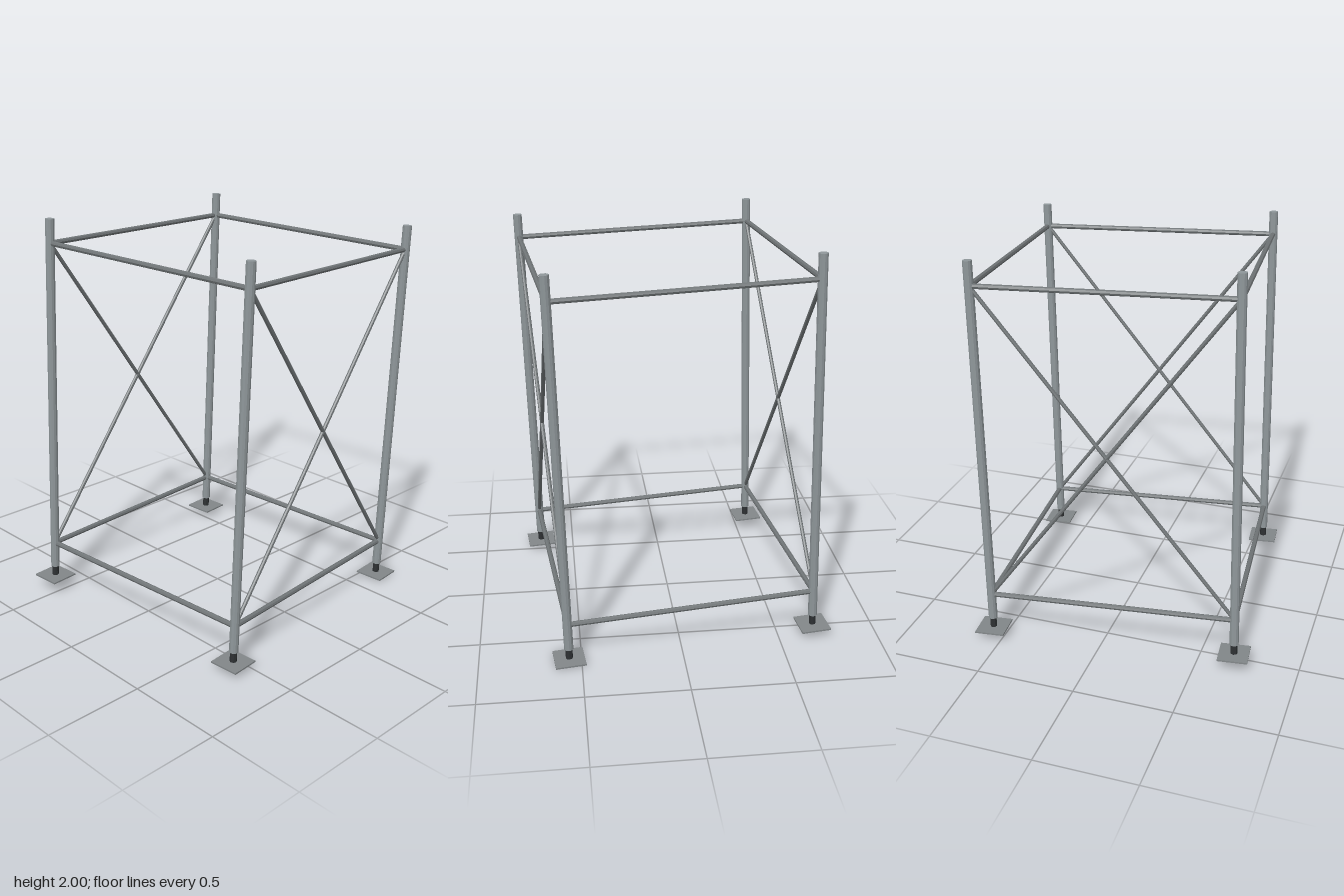
import * as THREE from 'three';

const mat = (name, color) => {
  const m = new THREE.MeshStandardMaterial({ color });
  m.name = name;
  return m;
};

export function createModel() {
  const postSteel = mat('post steel', 0x8f979a);
  const railSteel = mat('rail steel', 0x707577);
  const plateSteel = mat('plate steel', 0x828789);
  const darkSteel = mat('jack dark steel', 0x2e3133);

  const tower = new THREE.Group();
  tower.name = 'scaffoldTower';
  const H = 0.6235, height = 1.935, lowRail = 0.196, highRail = 1.815;

  // faceted round tube between two points
  const tube = (name, a, b, radius, material, sides = 8) => {
    const dir = b.clone().sub(a);
    const geometry = new THREE.CylinderGeometry(radius, radius, dir.length(), sides).toNonIndexed();
    geometry.computeVertexNormals();
    const mesh = new THREE.Mesh(geometry, material);
    mesh.position.copy(a).add(b).multiplyScalar(0.5);
    mesh.quaternion.setFromUnitVectors(new THREE.Vector3(0, 1, 0), dir.normalize());
    mesh.name = name;
    tower.add(mesh);
  };
  const corners = [[-H, H], [H, H], [H, -H], [-H, -H]];
  const at = (i, y) => new THREE.Vector3(corners[i % 4][0], y, corners[i % 4][1]);

  for (let i = 0; i < 4; i++) {
    // base plate, screw jack and upright post
    const plate = new THREE.Mesh(new THREE.BoxGeometry(0.15, 0.008, 0.15), plateSteel);
    plate.position.copy(at(i, 0.004));
    plate.name = 'basePlate';
    tower.add(plate);
    tube('screwJack', at(i, 0.006), at(i, 0.12), 0.0175, darkSteel);
    tube('post', at(i, 0.06), at(i, height), 0.0228, postSteel, 12);
    // horizontal rails along each side
    for (const y of [lowRail, highRail]) tube('rail', at(i, y), at(i + 1, y), 0.0132, railSteel);
  }

  // crossed braces on the front and back faces
  for (const i of [0, 2]) {
    tube('brace', at(i, lowRail), at(i + 1, highRail), 0.01, railSteel);
    tube('brace', at(i, highRail), at(i + 1, lowRail), 0.01, railSteel);
  }

  // the whole tower leans and is turned slightly
  const x = new THREE.Vector3(0.995, -0.02, -0.099).normalize();
  const y = new THREE.Vector3(0.097, -0.028, 0.995).cross(x).normalize();
  const z = x.clone().cross(y);
  tower.quaternion.setFromRotationMatrix(new THREE.Matrix4().makeBasis(x, y, z));
  tower.position.set(0, 0.0337, 0.001);

  const model = new THREE.Group();
  model.name = 'model';
  model.add(tower);
  return model;
}
